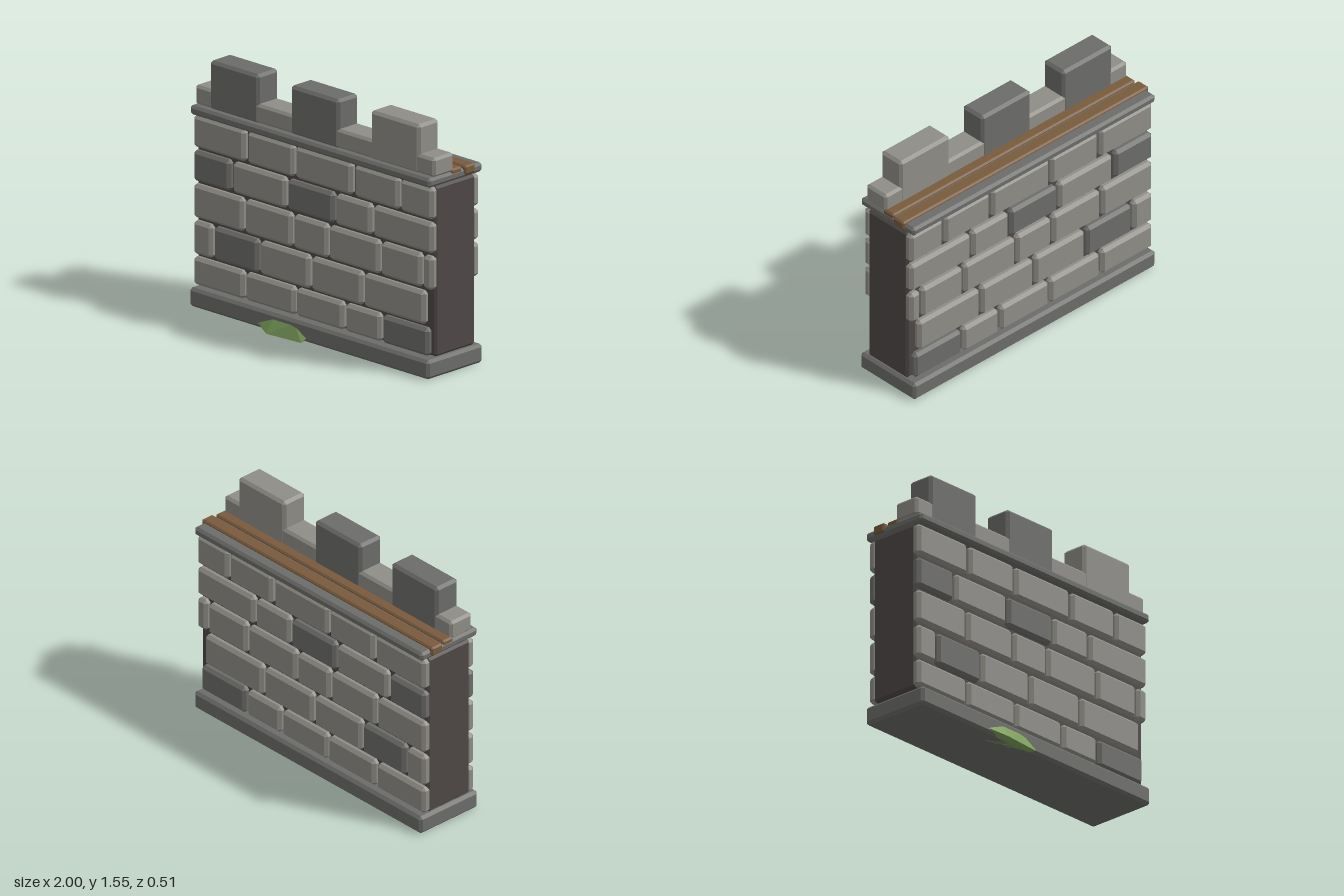
import * as THREE from 'three';
import { ConvexGeometry } from 'three/addons/geometries/ConvexGeometry.js';

const mat = (name, color) => {
  const m = new THREE.MeshStandardMaterial({ color });
  m.name = name;
  return m;
};

// Box with flat chamfered edges, given by its min and max on each axis
function chamferBox(x0, x1, y0, y1, z0, z1, c) {
  const h = [(x1 - x0) / 2, (y1 - y0) / 2, (z1 - z0) / 2];
  const pts = [];
  for (const sx of [-1, 1]) for (const sy of [-1, 1]) for (const sz of [-1, 1])
    for (let k = 0; k < 3; k++) {
      const d = h.map((v, i) => (i === k ? v : v - c));
      pts.push(new THREE.Vector3(sx * d[0], sy * d[1], sz * d[2]));
    }
  return new ConvexGeometry(pts).translate((x0 + x1) / 2, (y0 + y1) / 2, (z0 + z1) / 2);
}

export function createModel() {
  const model = new THREE.Group();
  model.name = 'castleWall';
  const lightStone = mat('light stone', 0x8f8d87);
  const darkStone = mat('dark stone', 0x6c6d6a);
  const mortar = mat('mortar', 0x4e4746);
  const wood = mat('wood', 0x785a3d);
  const moss = mat('moss', 0x7d9f5b);

  const add = (name, geometry, material, parent = model) => {
    const mesh = new THREE.Mesh(geometry, material);
    mesh.name = name;
    parent.add(mesh);
  };

  // Plinth, mortar core and top ledge
  add('plinth', chamferBox(-0.985, 0.985, 0, 0.118, -0.255, 0.213, 0.018), darkStone);
  add('core', chamferBox(-0.983, 0.983, 0.128, 1.186, -0.19, 0.146, 0.014), mortar);
  add('ledge', chamferBox(-0.988, 0.988, 1.19, 1.248, -0.25, 0.205, 0.016), darkStone);

  // Brick courses: y range, brick x ranges, index of dark bricks
  const courses = [
    { y: [0.13, 0.303], dark: [4],
      x: [[-0.985, -0.57], [-0.555, -0.15], [-0.14, 0.25], [0.265, 0.555], [0.57, 0.95]] },
    { y: [0.32, 0.527], dark: [1],
      x: [[-0.985, -0.83], [-0.815, -0.45], [-0.435, -0.03], [-0.015, 0.405], [0.42, 0.92]] },
    { y: [0.547, 0.755], dark: [],
      x: [[-0.985, -0.575], [-0.56, -0.175], [-0.16, 0.12], [0.13, 0.545], [0.56, 0.89], [0.905, 0.985]] },
    { y: [0.775, 0.965], dark: [0, 2],
      x: [[-0.985, -0.68], [-0.66, -0.225], [-0.21, 0.17], [0.185, 0.48], [0.495, 0.985]] },
    { y: [0.985, 1.183], dark: [],
      x: [[-0.985, -0.56], [-0.54, -0.16], [-0.145, 0.32], [0.34, 0.705], [0.72, 0.985]] },
  ];
  for (const [side, z0, z1] of [['front', 0.12, 0.184], ['back', -0.23, -0.165]]) {
    const wall = new THREE.Group();
    wall.name = side + 'Bricks';
    for (const { y, x, dark } of courses)
      x.forEach(([a, b], i) => add(side + 'Brick',
        chamferBox(a, b, y[0], y[1], z0, z1, 0.02), dark.includes(i) ? darkStone : lightStone, wall));
    model.add(wall);
  }

  // Parapet with three merlons, set a hair proud of it
  add('parapet', chamferBox(-0.985, 0.985, 1.245, 1.365, -0.01, 0.163, 0.016), lightStone);
  [[-0.863, -0.46, darkStone], [-0.2, 0.2, darkStone], [0.46, 0.863, lightStone]].forEach(([a, b, m]) =>
    add('merlon', chamferBox(a, b, 1.24, 1.546, -0.012, 0.165, 0.018), m));

  // Walkway planks behind the parapet
  add('outerPlank', chamferBox(-1, 1, 1.206, 1.264, -0.176, -0.088, 0.01), wood);
  add('innerPlank', chamferBox(-0.986, 0.986, 1.206, 1.264, -0.076, 0.012, 0.01), wood);

  // Faceted moss clump growing against the plinth
  const clump = [
    [-0.42, 0.05, 0.2], [-0.29, 0.095, 0.205], [-0.12, 0.095, 0.205], [-0.01, 0.035, 0.205],
    [-0.035, 0, 0.238], [-0.3, 0, 0.26], [-0.42, 0.03, 0.21],
    [-0.35, 0, 0.12], [-0.08, 0, 0.12], [-0.2, 0.07, 0.12],
  ].map((p) => new THREE.Vector3(...p));
  add('mossClump', new ConvexGeometry(clump), moss);

  return model;
}
